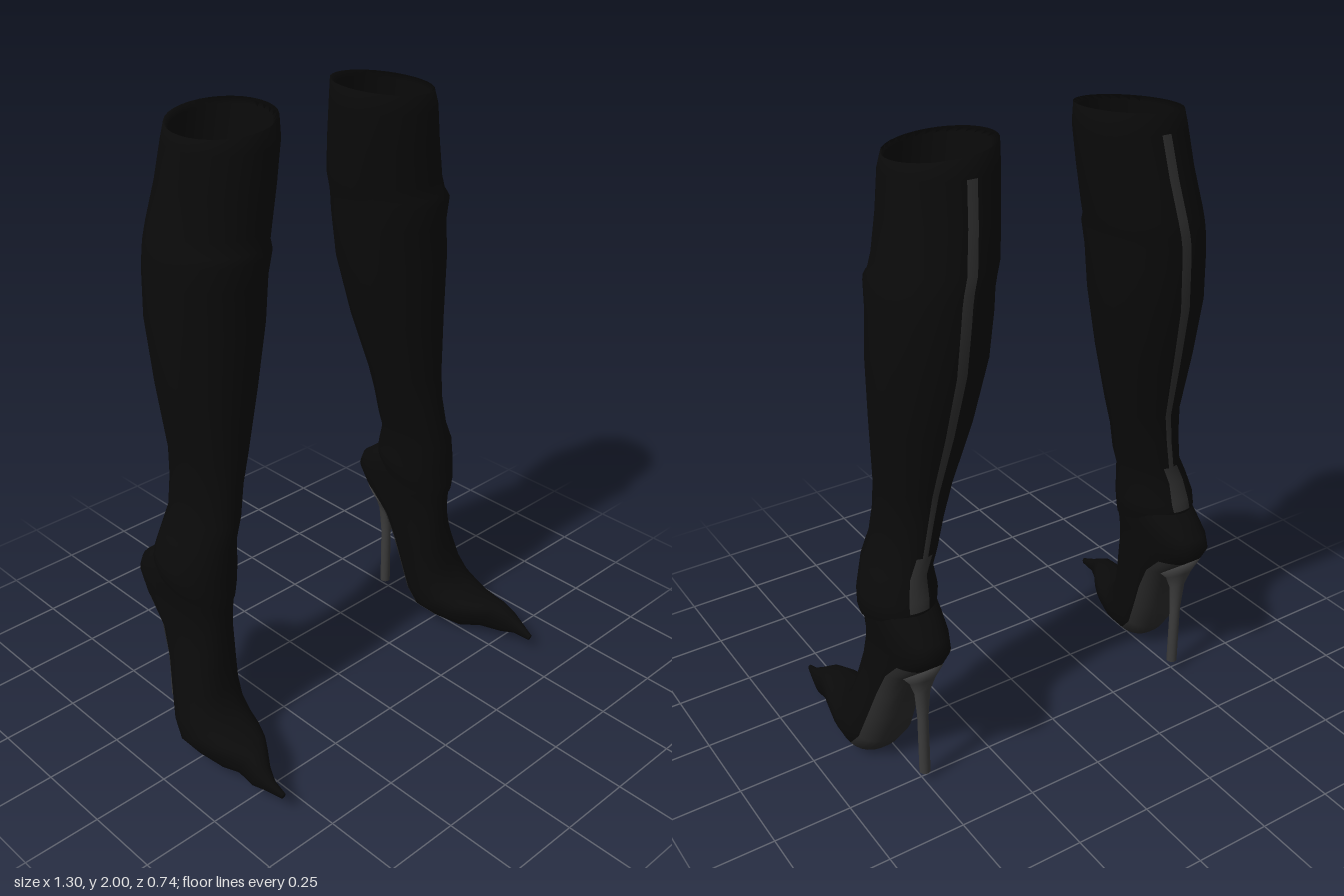
import * as THREE from 'three';

const SEG = 32;
const BACK = SEG / 2 - 1; // index of the segment centred on the back

const flat = (name, color) => new THREE.MeshStandardMaterial({ name, color, side: THREE.DoubleSide });

// Skin over rings. Row: xMin, xMax, front z, front y, back z, back y, outer-side drop.
// slot(row, d) picks the material index, d being the segment distance from the back.
function loft(name, rows, side, materials, { power = 1, slot = () => 0, capStart = false, capEnd = false } = {}) {
  const pos = [];
  const faces = materials.map(() => []);
  const soft = (v) => Math.sign(v) * Math.abs(v) ** power;
  for (const [x0, x1, zf, yf, zb, yb, drop = 0] of rows) {
    for (let j = 0; j < SEG; j++) {
      const a = ((j + 0.5) / SEG) * Math.PI * 2;
      const s = soft(Math.sin(a));
      const c = soft(Math.cos(a));
      pos.push(
        side * ((x0 + x1) / 2 + (s * (x1 - x0)) / 2),
        (yf + yb) / 2 + (c * (yf - yb)) / 2 - drop * s,
        (zf + zb) / 2 + (c * (zf - zb)) / 2
      );
    }
  }
  const tri = (m, a, b, c) => faces[m].push(...(side > 0 ? [a, b, c] : [a, c, b]));
  for (let i = 0; i < rows.length - 1; i++) {
    for (let j = 0; j < SEG; j++) {
      const k = (j + 1) % SEG;
      const m = slot(rows[i], Math.abs(j - BACK));
      const a = i * SEG + j, b = i * SEG + k, c = a + SEG, d = b + SEG;
      tri(m, a, c, b);
      tri(m, b, c, d);
    }
  }
  const cap = (i, end) => {
    const [x0, x1, zf, yf, zb, yb] = rows[i];
    const mid = pos.length / 3;
    pos.push((side * (x0 + x1)) / 2, (yf + yb) / 2, (zf + zb) / 2);
    for (let j = 0; j < SEG; j++) {
      const a = i * SEG + j, b = i * SEG + ((j + 1) % SEG);
      if (end) tri(0, mid, b, a);
      else tri(0, mid, a, b);
    }
  };
  if (capStart) cap(0, false);
  if (capEnd) cap(rows.length - 1, true);

  const geo = new THREE.BufferGeometry();
  geo.setAttribute('position', new THREE.Float32BufferAttribute(pos, 3));
  geo.setIndex(faces.flat());
  let start = 0;
  faces.forEach((f, m) => {
    geo.addGroup(start, f.length, m);
    start += f.length;
  });
  geo.computeVertexNormals();
  const mesh = new THREE.Mesh(geo, materials);
  mesh.name = name;
  return mesh;
}

// Inner lining up to the rim
const LINING = [
  [0.34, 0.5, 0, 0.95, -0.22, 0.95],
  [0.23, 0.52, 0.01, 1.4, -0.32, 1.4],
  [0.17, 0.455, 0.015, 1.95, -0.275, 1.96, 0.015],
];

// Outer shaft from the rim, over the calf, to the loose ankle hem
const SHAFT = [
  [0.152, 0.465, 0.025, 1.962, -0.29, 1.978, 0.015],
  [0.152, 0.475, 0.035, 1.91, -0.3, 1.92],
  [0.165, 0.49, 0.035, 1.8, -0.325, 1.8],
  [0.18, 0.515, 0.032, 1.68, -0.35, 1.68],
  [0.191, 0.527, 0.036, 1.635, -0.352, 1.635],
  [0.195, 0.535, 0.052, 1.615, -0.353, 1.6],
  [0.2, 0.54, 0.036, 1.54, -0.352, 1.54],
  [0.215, 0.547, 0.035, 1.4, -0.345, 1.4],
  [0.255, 0.542, 0.022, 1.2, -0.302, 1.2],
  [0.31, 0.53, 0.015, 1.0, -0.252, 1.0],
  [0.34, 0.532, 0.015, 0.9, -0.245, 0.9],
  [0.363, 0.545, 0.025, 0.8, -0.242, 0.8],
  [0.383, 0.575, 0.028, 0.73, -0.246, 0.74],
  [0.372, 0.603, 0.022, 0.63, -0.262, 0.67],
  [0.38, 0.602, 0.025, 0.57, -0.27, 0.64],
  [0.387, 0.594, 0.022, 0.53, -0.268, 0.62],
];

// Foot from the ankle, round the heel, down the arch and out to the pointed toe
const FOOT = [
  [0.39, 0.585, 0.012, 0.6, -0.255, 0.64],
  [0.39, 0.585, 0.015, 0.55, -0.3, 0.61],
  [0.395, 0.583, 0.013, 0.51, -0.35, 0.57],
  [0.4, 0.58, 0.012, 0.47, -0.368, 0.53],
  [0.405, 0.58, 0.012, 0.42, -0.335, 0.475],
  [0.41, 0.585, 0.015, 0.36, -0.25, 0.4],
  [0.415, 0.6, 0.022, 0.3, -0.2, 0.3],
  [0.42, 0.62, 0.033, 0.23, -0.165, 0.2],
  [0.425, 0.64, 0.06, 0.18, -0.132, 0.09],
  [0.43, 0.65, 0.1, 0.155, -0.09, 0.03],
  [0.445, 0.64, 0.15, 0.143, 0.0, 0.015],
  [0.475, 0.622, 0.2, 0.148, 0.1, 0.005],
  [0.51, 0.61, 0.24, 0.145, 0.18, 0.03],
  [0.545, 0.61, 0.285, 0.115, 0.25, 0.03],
  [0.565, 0.6, 0.325, 0.09, 0.3, 0.045],
  [0.57, 0.585, 0.372, 0.07, 0.366, 0.05],
];

// Stiletto heel, flaring into the heel seat
const HEEL = [
  [0.435, 0.55, -0.2, 0.365, -0.345, 0.49],
  [0.455, 0.53, -0.222, 0.36, -0.31, 0.42],
  [0.468, 0.517, -0.238, 0.33, -0.287, 0.36],
  [0.475, 0.51, -0.243, 0.25, -0.277, 0.25],
  [0.475, 0.51, -0.243, 0.035, -0.278, 0.035],
];

export function createModel() {
  const black = flat('black leather', 0x0a0a0a);
  const zip = flat('zip grey', 0x2e2e2e);
  const sole = flat('sole grey', 0x2a2a2a);
  const heel = flat('heel grey', 0x3c3c3c);

  const model = new THREE.Group();
  model.name = 'boots';
  for (const side of [1, -1]) {
    const boot = new THREE.Group();
    boot.name = side > 0 ? 'leftBoot' : 'rightBoot';
    boot.add(
      loft('shaft', [...LINING, ...SHAFT], side, [black, zip], {
        // Back zip, widening at the ankle
        slot: (row, d) => (SHAFT.indexOf(row) > 0 && row[5] > 0.65 && d <= (row[5] < 0.85 ? 1 : 0) ? 1 : 0),
      }),
      loft('foot', FOOT, side, [black, sole], {
        power: 0.85,
        capEnd: true,
        // Sole on the underside from the heel seat to the ball
        slot: (row, d) => {
          const i = FOOT.indexOf(row);
          return i >= 4 && i <= 9 && d <= 5 ? 1 : 0;
        },
      }),
      loft('heel', HEEL, side, [heel], { capStart: true, capEnd: true })
    );
    if (side < 0) boot.position.y = 0.015;
    model.add(boot);
  }
  return model;
}
